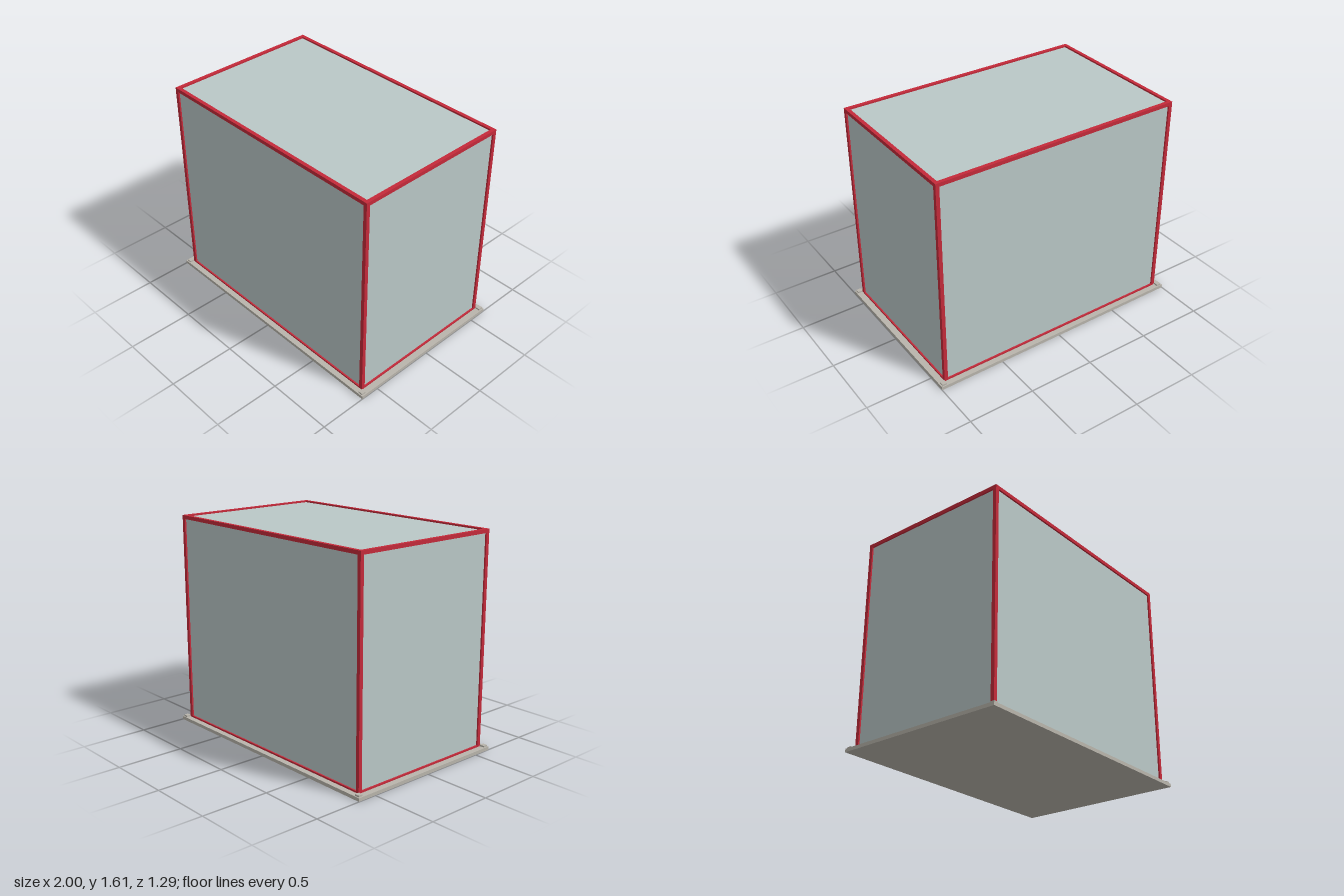
import * as THREE from 'three';

const paint = (name, color) => {
  const m = new THREE.MeshStandardMaterial({ color });
  m.name = name;
  return m;
};

export function createModel() {
  const model = new THREE.Group();
  model.name = 'glassCase';
  const red = paint('red frame', 0xc52a3a);
  const glass = paint('pale glass', 0xbac8c7);
  const stone = paint('warm grey base', 0xb9b5ac);

  const box = (name, mat, w, h, d, x, y, z) => {
    const mesh = new THREE.Mesh(new THREE.BoxGeometry(w, h, d), mat);
    mesh.name = name;
    mesh.position.set(x, y, z);
    model.add(mesh);
  };

  // Frame half sizes, bottom, top and beam thickness
  const X = 0.953, Z = 0.603, Y0 = 0.01, Y1 = 1.608, T = 0.027;
  const H = Y1 - Y0, midY = (Y0 + Y1) / 2;
  const cx = X - T / 2, cz = Z - T / 2;

  // Base slab
  box('base', stone, 2, 0.025, 1.29, 0, 0.0125, 0);

  // Corner posts and the small feet outside them
  for (const sx of [-1, 1]) for (const sz of [-1, 1]) {
    box('cornerPost', red, T, H, T, sx * cx, midY, sz * cz);
    box('cornerFoot', stone, 0.034, 0.013, 0.034, sx * 0.973, 0.0305, sz * 0.62);
  }

  // Top and bottom rails
  for (const y of [Y0 + T / 2, Y1 - T / 2]) for (const s of [-1, 1]) {
    box('longRail', red, 2 * (X - T), T, T, 0, y, s * cz);
    box('sideRail', red, T, T, 2 * (Z - T), s * cx, y, 0);
  }

  // Glass set back inside the frame
  const inset = 0.012;
  box('glassBody', glass, 2 * (X - inset), H - 2 * inset, 2 * (Z - inset), 0, midY, 0);

  return model;
}
